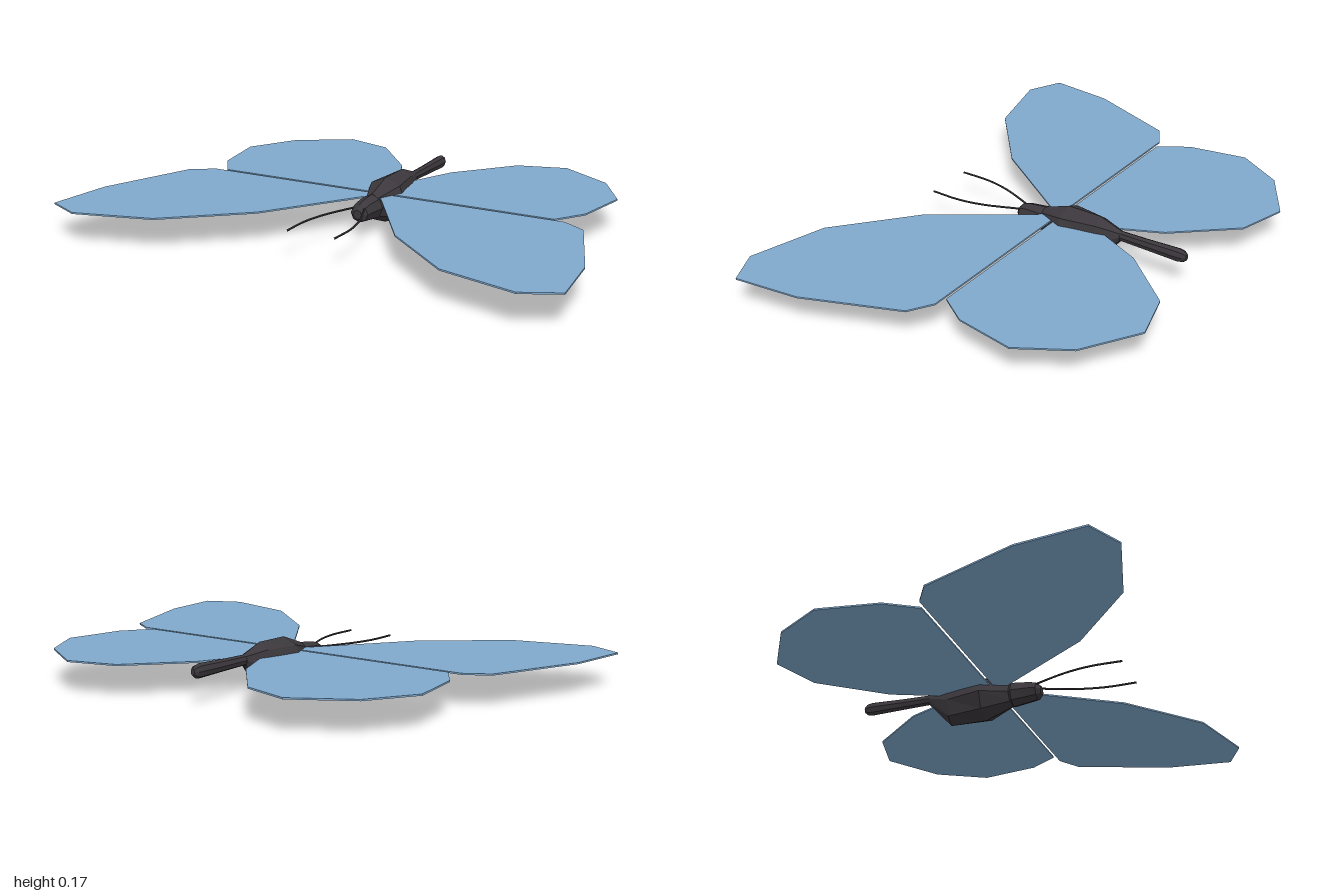
import * as THREE from 'three';

const wingMat = new THREE.MeshStandardMaterial({ color: 0x7fa8cc });
const bodyMat = new THREE.MeshStandardMaterial({ color: 0x3b373c, flatShading: true });

// Wing outlines as [x, z] on the left side
const FRONT_WING = [[0, -0.035], [0.74, -0.035], [0.83, -0.02 + 0.04], [0.97, 0.38], [1, 0.635],
  [0.865, 0.7], [0.565, 0.62], [0.28, 0.38], [0.04, 0.03], [0, -0.02]];
const REAR_WING = [[0, -0.047], [0.695, -0.047], [0.77, -0.16], [0.81, -0.39], [0.7, -0.575],
  [0.49, -0.705], [0.3, -0.65], [0.11, -0.43], [0.015, -0.22], [0, -0.2]];

// Thin flat plate lying in the horizontal plane
function wing(name, outline, side) {
  const shape = new THREE.Shape(outline.map(([x, z]) => new THREE.Vector2(x * side, z)));
  const geo = new THREE.ExtrudeGeometry(shape, { depth: 0.006, bevelEnabled: false });
  geo.rotateX(Math.PI / 2);
  const mesh = new THREE.Mesh(geo, wingMat);
  mesh.position.y = 0.123;
  mesh.name = name;
  return mesh;
}

// Octagonal loft through sections [z, halfWidth, bottom, top], front to back
function loft(name, sections) {
  const N = 8, pos = [], index = [];
  for (const [z, w, lo, hi] of sections) {
    for (let i = 0; i < N; i++) {
      const a = (i / N) * Math.PI * 2;
      pos.push(w * Math.cos(a), (lo + hi) / 2 + ((hi - lo) / 2) * Math.sin(a), z);
    }
  }
  const last = (sections.length - 1) * N;
  for (let r = 0; r < last; r += N) {
    for (let i = 0; i < N; i++) {
      const j = (i + 1) % N;
      index.push(r + i, r + N + i, r + j, r + j, r + N + i, r + N + j);
    }
  }
  // End caps
  for (let i = 1; i < N - 1; i++) {
    index.push(0, i, i + 1, last, last + i + 1, last + i);
  }
  const geo = new THREE.BufferGeometry();
  geo.setAttribute('position', new THREE.Float32BufferAttribute(pos, 3));
  geo.setIndex(index);
  geo.computeVertexNormals();
  const mesh = new THREE.Mesh(geo, bodyMat);
  mesh.name = name;
  return mesh;
}

// Slender feeler sweeping forward and outward
function antenna(name, side) {
  const curve = new THREE.CatmullRomCurve3([[0.015, 0.11], [0.045, 0.18], [0.075, 0.26], [0.095, 0.36], [0.095, 0.48]]
    .map(([x, z]) => new THREE.Vector3(x * side, 0.109, z)));
  const mesh = new THREE.Mesh(new THREE.TubeGeometry(curve, 12, 0.004, 5), bodyMat);
  mesh.name = name;
  return mesh;
}

export function createModel() {
  const model = new THREE.Group();
  model.name = 'butterfly';

  model.add(loft('head', [
    [0.14, 0.018, 0.07, 0.105],
    [0.125, 0.036, 0.055, 0.122],
    [0.1, 0.039, 0.05, 0.13],
    [0.03, 0.047, 0.04, 0.138],
    [0.01, 0.03, 0.05, 0.13],
  ]));
  model.add(loft('thorax', [
    [0.025, 0.035, 0.04, 0.138],
    [-0.08, 0.085, 0, 0.175],
    [-0.22, 0.052, 0, 0.175],
    [-0.31, 0.018, 0.1, 0.142],
  ]));
  model.add(loft('abdomen', [
    [-0.3, 0.016, 0.102, 0.142],
    [-0.42, 0.018, 0.099, 0.144],
    [-0.55, 0.021, 0.095, 0.149],
    [-0.57, 0.018, 0.099, 0.145],
    [-0.583, 0.009, 0.11, 0.134],
  ]));

  for (const [label, side] of [['left', 1], ['right', -1]]) {
    model.add(wing(label + 'FrontWing', FRONT_WING, side));
    model.add(wing(label + 'RearWing', REAR_WING, side));
    model.add(antenna(label + 'Antenna', side));
  }
  return model;
}
